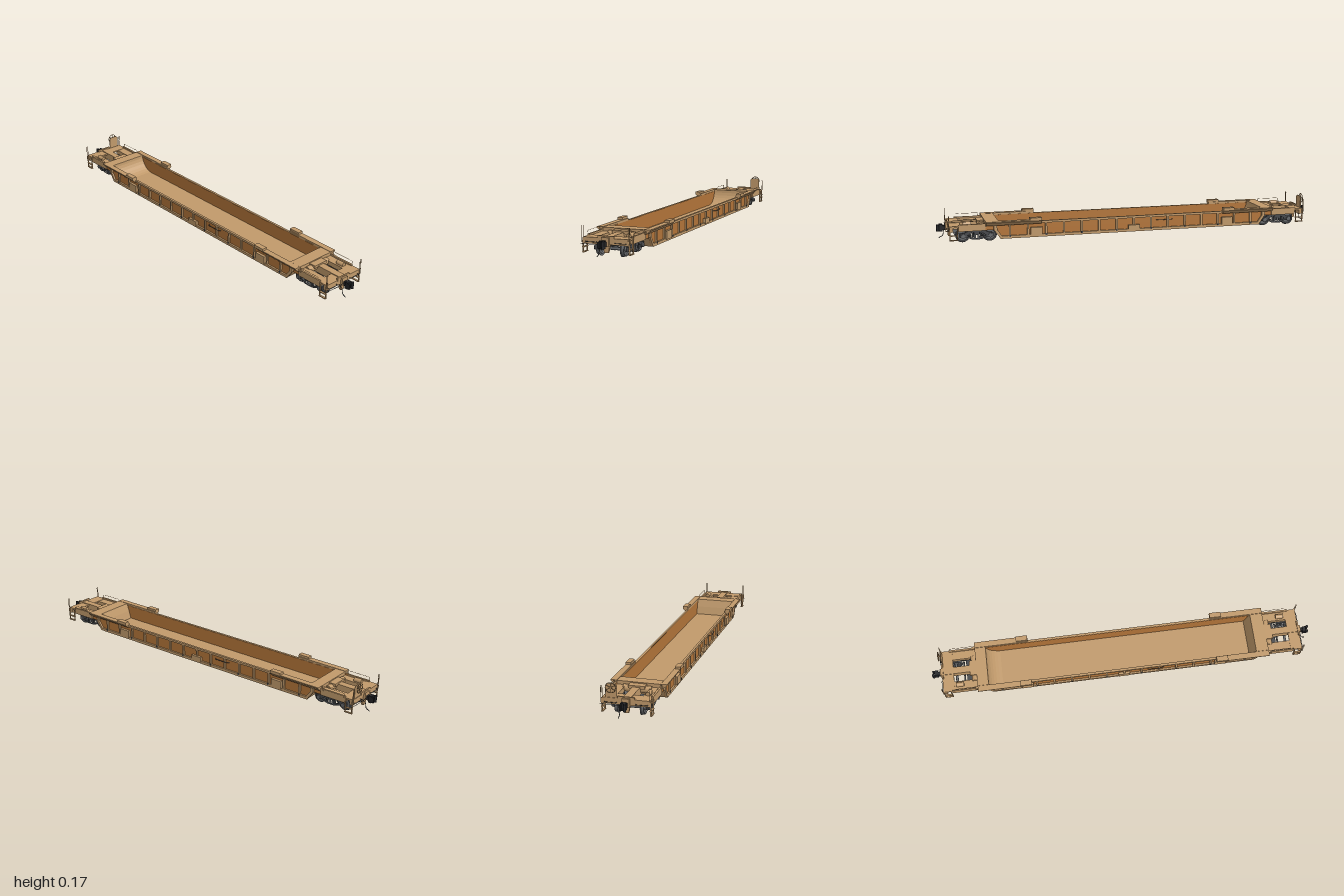
import * as THREE from 'three';

const mat = (name, color, side = THREE.FrontSide) => {
  const m = new THREE.MeshStandardMaterial({ color, side });
  m.name = name;
  return m;
};

export function createModel() {
  const tan = mat('tan paint', 0xc19a6b);
  const brown = mat('rust brown paint', 0xb5763a);
  const steel = mat('wheel steel', 0x66686b);
  const iron = mat('truck iron', 0x46484b);
  const black = mat('coupler black', 0x222326);

  const add = (parent, name, geo, m) => {
    const mesh = new THREE.Mesh(geo, m);
    mesh.name = name;
    parent.add(mesh);
    return mesh;
  };
  // Box from its limits on each axis
  const box = (parent, name, m, x0, x1, y0, y1, z0, z1) =>
    add(parent, name, new THREE.BoxGeometry(x1 - x0, y1 - y0, z1 - z0), m)
      .position.set((x0 + x1) / 2, (y0 + y1) / 2, (z0 + z1) / 2);
  // Side outline of [z, y] points, extruded from x0 to x1
  const slab = (parent, name, m, pts, x0, x1, holes = []) => {
    const shape = new THREE.Shape(pts.map(p => new THREE.Vector2(...p)));
    holes.forEach(h => shape.holes.push(new THREE.Path(h.map(p => new THREE.Vector2(...p)))));
    const g = new THREE.ExtrudeGeometry(shape, { depth: x1 - x0, bevelEnabled: false });
    g.rotateY(-Math.PI / 2).translate(x1, 0, 0);
    return add(parent, name, g, m);
  };
  // Cylinder along x
  const rod = (parent, name, m, r, x0, x1, y, z, sides = 16) => {
    const g = new THREE.CylinderGeometry(r, r, x1 - x0, sides).rotateZ(Math.PI / 2);
    add(parent, name, g, m).position.set((x0 + x1) / 2, y, z);
  };
  // Bent bar through straight segments
  const bar = (parent, name, m, pts, r = 0.0015) => {
    const path = new THREE.CurvePath();
    const v = pts.map(p => new THREE.Vector3(...p));
    for (let i = 1; i < v.length; i++) path.add(new THREE.LineCurve3(v[i - 1], v[i]));
    add(parent, name, new THREE.TubeGeometry(path, (v.length - 1) * 5, r, 5), m);
  };

  const car = new THREE.Group();
  car.name = 'wellCar';

  // Well floor
  box(car, 'wellFloor', tan, -0.108, 0.108, 0.02, 0.028, -0.69, 0.69);

  // Side walls with chords, ribs, pads and walkways
  for (const s of [-1, 1]) {
    const side = new THREE.Group();
    side.name = s > 0 ? 'leftSide' : 'rightSide';
    side.rotation.y = s > 0 ? 0 : Math.PI;
    car.add(side);
    slab(side, 'sideWeb', brown, [[-0.69, 0.021], [0.69, 0.021], [0.72, 0.066], [0.78, 0.066],
      [0.78, 0.1], [-0.78, 0.1], [-0.78, 0.066], [-0.72, 0.066]], 0.104, 0.108);
    box(side, 'topChord', tan, 0.105, 0.117, 0.091, 0.102, -0.78, 0.78);
    box(side, 'bottomChord', tan, 0.107, 0.117, 0.02, 0.034, -0.692, 0.692);
    for (let i = -7; i <= 7; i++) {
      const z = i * 0.092;
      box(side, 'sideRib', tan, 0.107, 0.116, 0.03, 0.093, z - 0.005, z + 0.005);
      if (i % 2) box(side, 'chordLug', iron, 0.116, 0.119, 0.028, 0.037, z - 0.004, z + 0.004);
    }
    for (const z of [-0.51, 0, 0.51]) {
      box(side, 'jackingPad', tan, 0.107, 0.121, 0.028, z ? 0.07 : 0.055, z - 0.03, z + 0.03);
    }
    bar(side, 'sideHandle', iron, [[0.108, 0.074, -0.21], [0.118, 0.074, -0.2],
      [0.118, 0.074, -0.13], [0.108, 0.074, -0.12]]);
    for (const e of [-1, 1]) {
      // Flared walkway section swept along the car
      const flare = new THREE.Shape([[0.106, 0.086], [0.118, 0.089], [0.136, 0.106], [0.136, 0.111], [0.106, 0.111]]
        .map(p => new THREE.Vector2(...p)));
      const g = new THREE.ExtrudeGeometry(flare, { depth: 0.28, bevelEnabled: false });
      add(side, 'sideWalkway', g, tan).position.z = e > 0 ? 0.485 : -0.765;
      const z0 = e > 0 ? 0.485 : -0.545;
      box(side, 'guideBlock', tan, 0.11, 0.137, 0.107, 0.122, z0, z0 + 0.06);
      // Slanted end frame of the side
      slab(side, 'endPost', tan, [[e * 0.675, 0.021], [e * 0.692, 0.021], [e * 0.725, 0.068],
        [e * 0.725, 0.095], [e * 0.708, 0.095], [e * 0.708, 0.068]], 0.107, 0.117);
    }
  }

  // Wheel profile: flange on the inner edge
  const wheelGeo = new THREE.LatheGeometry([[0, 0.002], [0.011, 0.002], [0.013, 0.006], [0.025, 0.006], [0.027, 0],
    [0.036, 0], [0.036, 0.003], [0.033, 0.005], [0.032, 0.017], [0.027, 0.017], [0.025, 0.012], [0.012, 0.012],
    [0.01, 0.018], [0, 0.018]].map(p => new THREE.Vector2(...p)), 28).toNonIndexed();
  wheelGeo.computeVertexNormals();
  wheelGeo.rotateZ(-Math.PI / 2);

  const makeTruck = parent => {
    const truck = new THREE.Group();
    truck.name = 'truck';
    parent.add(truck);
    for (const z of [0.738, 0.875]) {
      rod(truck, 'axle', steel, 0.007, -0.088, 0.088, 0.036, z);
      for (const s of [-1, 1]) {
        const w = add(truck, 'wheel', wheelGeo, steel);
        w.position.set(s * 0.052, 0.036, z);
        if (s < 0) w.rotation.y = Math.PI;
        rod(truck, 'bearingCap', steel, 0.011, s > 0 ? 0.074 : -0.09, s > 0 ? 0.09 : -0.074, 0.036, z);
      }
    }
    // Side frames with window openings and springs
    const zc = 0.8065;
    const mirror = pts => [...pts, ...pts.slice().reverse().map(([z, y]) => [-z, y])].map(([z, y]) => [z + zc, y]);
    for (const x of [-0.084, 0.074]) {
      slab(truck, 'sideFrame', iron, mirror([[-0.022, 0.017], [-0.052, 0.029], [-0.084, 0.029],
        [-0.084, 0.049], [-0.06, 0.052], [-0.035, 0.064]]), x, x + 0.01,
      [mirror([[-0.016, 0.025], [-0.016, 0.053]]),
        [[zc - 0.048, 0.037], [zc - 0.024, 0.027], [zc - 0.024, 0.053]],
        [[zc + 0.048, 0.037], [zc + 0.024, 0.053], [zc + 0.024, 0.027]]]);
      for (const dz of [-0.009, 0.009]) {
        add(truck, 'spring', new THREE.CylinderGeometry(0.006, 0.006, 0.018, 10), steel)
          .position.set(x + 0.005, 0.033, zc + dz);
      }
    }
    box(truck, 'truckBolster', iron, -0.086, 0.086, 0.041, 0.055, zc - 0.014, zc + 0.014);
    for (const z of [zc - 0.028, zc + 0.028]) box(truck, 'brakeBeam', iron, -0.066, 0.066, 0.028, 0.035, z - 0.004, z + 0.004);
  };

  const makeEnd = isBack => {
    const end = new THREE.Group();
    end.name = isBack ? 'backEnd' : 'frontEnd';
    end.rotation.y = isBack ? Math.PI : 0;
    car.add(end);

    // Bulkhead: curved at the back, steep at the front
    const face = [[0.685, 0.07], [0.672, 0.024]];
    if (isBack) {
      face.length = 0;
      for (let i = 0; i <= 8; i++) {
        const a = i / 8 * Math.PI / 2;
        face.push([0.62 + 0.088 * Math.cos(a), 0.109 - 0.083 * Math.sin(a)]);
      }
    }
    slab(end, 'wellBulkhead', tan, [[0.69, 0.021], [0.722, 0.073], [0.765, 0.073], [0.765, 0.11],
      [isBack ? 0.71 : 0.7, 0.11], ...face], -0.1045, 0.1045);

    // Open end platform
    rod(end, 'roundedCrossBeam', tan, 0.017, -0.068, 0.068, 0.083, 0.777, 20);
    for (const s of [-1, 1]) {
      const [a, b] = s > 0 ? [0.06, 0.108] : [-0.108, -0.06];
      box(end, 'sideBeam', tan, a, b, 0.068, 0.092, 0.76, 0.9);
      const [c, d] = s > 0 ? [0.104, 0.113] : [-0.113, -0.104];
      box(end, 'sideSill', tan, c, d, 0.066, 0.1, 0.765, 0.9);
    }
    box(end, 'centreSill', tan, -0.018, 0.018, 0.06, 0.098, 0.76, 0.955);
    box(end, 'centrePlate', tan, -0.04, 0.04, 0.09, 0.105, 0.765, 0.8);
    box(end, 'endDeck', tan, -0.112, 0.112, 0.086, 0.094, 0.885, 0.945);
    box(end, 'endSill', tan, -0.112, 0.112, 0.064, 0.088, 0.925, 0.943);
    box(end, 'bufferPlate', tan, -0.04, 0.04, 0.088, 0.104, 0.938, 0.946);
    const striker = new THREE.Shape([[-0.018, 0.066], [-0.01, 0.027], [0.01, 0.027], [0.018, 0.066]]
      .map(p => new THREE.Vector2(...p)));
    add(end, 'strikerPlate', new THREE.ExtrudeGeometry(striker, { depth: 0.012, bevelEnabled: false }), tan)
      .position.z = 0.93;
    add(end, 'airTank', new THREE.CylinderGeometry(0.012, 0.012, 0.04, 16).rotateX(Math.PI / 2), tan)
      .position.set(0.08, 0.097, 0.855);

    // Handrails, corner posts and steps
    for (const s of [-1, 1]) {
      const x = s * 0.114;
      bar(end, 'sideHandrail', tan, [[x, 0.095, 0.775], [x, 0.115, 0.775], [x, 0.115, 0.895], [x, 0.092, 0.895]], 0.001);
      bar(end, 'cornerRail', tan, [[x - 0.004, 0.07, 0.946], [x - 0.004, 0.148, 0.946],
        [x + 0.003, 0.148, 0.946], [x + 0.003, 0.07, 0.946]]);
      for (const z of [0.905, 0.942]) box(end, 'stepHanger', tan, x - 0.003, x + 0.003, 0.022, 0.09, z - 0.002, z + 0.002);
      for (const y of [0.022, 0.045]) box(end, 'stepTread', tan, x - 0.005, x + 0.005, y, y + 0.004, 0.903, 0.944);
      bar(end, 'endGrab', iron, [[s * 0.045, 0.074, 0.943], [s * 0.045, 0.074, 0.952],
        [s * 0.1, 0.074, 0.952], [s * 0.1, 0.074, 0.943]]);
    }
    bar(end, 'uncouplingLever', iron, [[-0.122, 0.063, 0.95], [-0.03, 0.063, 0.952], [-0.016, 0.08, 0.965]], 0.0012);

    // Coupler and air hose
    box(end, 'couplerShank', black, -0.009, 0.009, 0.058, 0.08, 0.94, 0.975);
    box(end, 'couplerHead', black, -0.015, 0.011, 0.052, 0.087, 0.968, 0.985);
    box(end, 'couplerGuard', black, -0.016, -0.008, 0.056, 0.083, 0.983, 0.997);
    add(end, 'couplerKnuckle', new THREE.CylinderGeometry(0.007, 0.007, 0.034, 12), black).position.set(0.009, 0.07, 0.993);
    const hose = new THREE.CatmullRomCurve3([[-0.024, 0.062, 0.943], [-0.024, 0.05, 0.96],
      [-0.024, 0.026, 0.966], [-0.024, 0.014, 0.985]].map(p => new THREE.Vector3(...p)));
    add(end, 'airHose', new THREE.TubeGeometry(hose, 14, 0.002, 6), black);

    makeTruck(end);
    return end;
  };
  makeEnd(false);
  const back = makeEnd(true);

  // Hand brake: arched backing plate, ring and spokes
  const brake = new THREE.Group();
  brake.name = 'handBrake';
  brake.position.set(-0.07, 0.143, 0.938);
  back.add(brake);
  const plate = new THREE.Shape();
  plate.moveTo(-0.027, -0.055).lineTo(0.027, -0.055).lineTo(0.027, 0.006)
    .lineTo(0.018, 0.015).lineTo(-0.018, 0.015).lineTo(-0.027, 0.006);
  add(brake, 'brakePlate', new THREE.ExtrudeGeometry(plate, { depth: 0.004, bevelEnabled: false }), tan);
  add(brake, 'brakeWheelRim', new THREE.TorusGeometry(0.024, 0.0018, 6, 28), tan).position.z = 0.014;
  add(brake, 'brakeHub', new THREE.CylinderGeometry(0.005, 0.005, 0.014, 12).rotateX(Math.PI / 2), tan).position.z = 0.009;
  for (let i = 0; i < 3; i++) {
    const spoke = add(brake, 'brakeSpoke', new THREE.BoxGeometry(0.003, 0.047, 0.002), tan);
    spoke.position.z = 0.014;
    spoke.rotation.z = i * Math.PI / 3;
  }
  return car;
}
